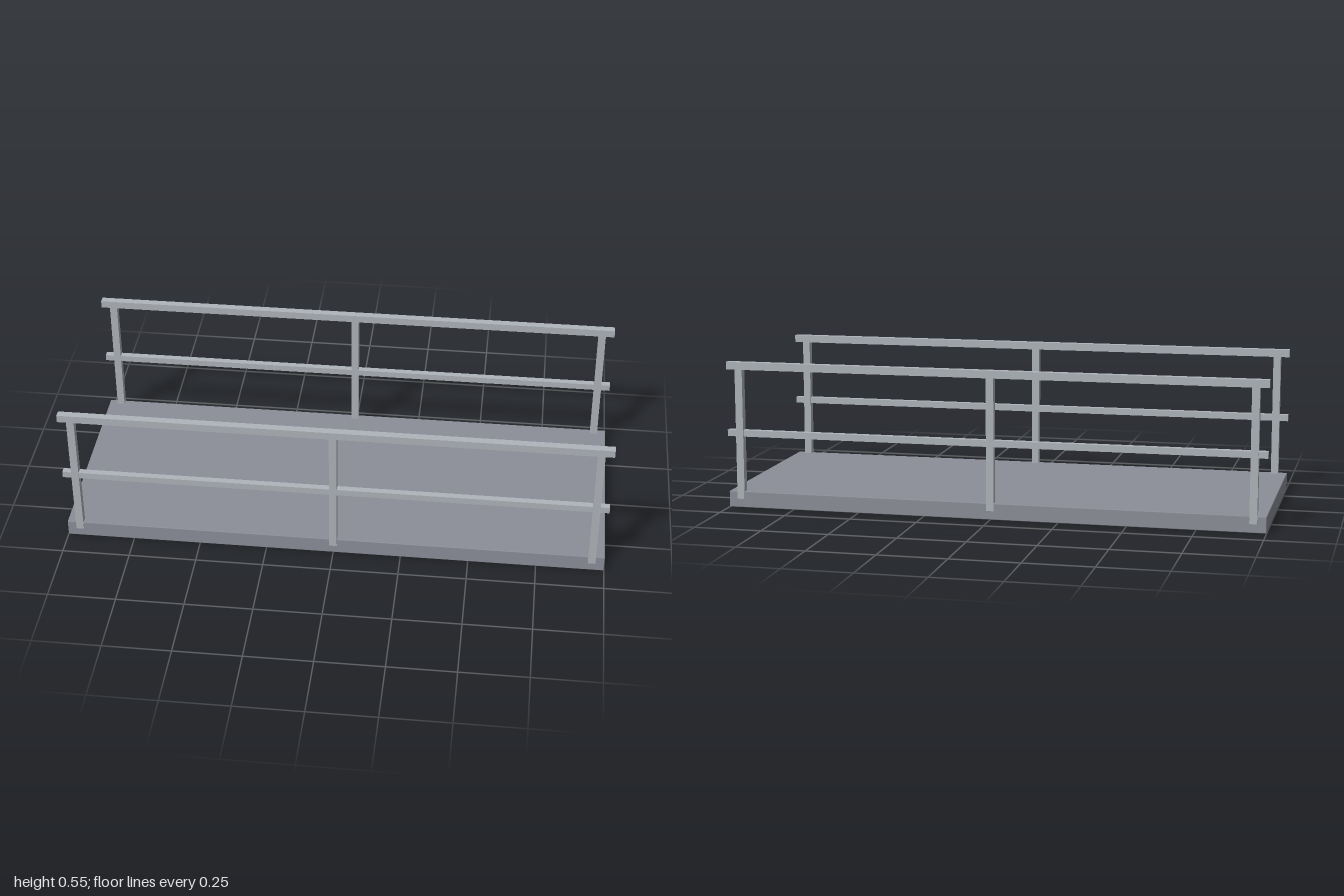
import * as THREE from 'three';
import { RoundedBoxGeometry } from 'three/addons/geometries/RoundedBoxGeometry.js';

export function createModel() {
  const group = new THREE.Group();
  group.name = 'railedWalkway';

  const deckGrey = new THREE.MeshStandardMaterial({ color: 0x8c8f99 });
  deckGrey.name = 'deckGrey';
  const railGrey = new THREE.MeshStandardMaterial({ color: 0xafb5bb });
  railGrey.name = 'railGrey';

  function add(parent, name, geometry, material, x, y, z) {
    const mesh = new THREE.Mesh(geometry, material);
    mesh.name = name;
    mesh.position.set(x, y, z);
    parent.add(mesh);
  }

  // Deck slab with slightly softened edges
  add(group, 'deck', new RoundedBoxGeometry(2, 0.061, 0.8, 1, 0.003), deckGrey, 0, 0.0305, 0);

  // Matching guard rails along both long edges
  const postGeometry = new THREE.BoxGeometry(0.028, 0.487, 0.028);
  const topRailGeometry = new THREE.BoxGeometry(2, 0.028, 0.028);
  const midRailGeometry = new THREE.BoxGeometry(2, 0.024, 0.024);
  for (const side of [1, -1]) {
    const railing = new THREE.Group();
    railing.name = side > 0 ? 'frontRailing' : 'backRailing';
    railing.position.z = side * 0.389;
    group.add(railing);

    for (const x of [-0.953, 0, 0.953]) {
      add(railing, 'post', postGeometry, railGrey, x, 0.2765, 0);
    }
    add(railing, 'topRail', topRailGeometry, railGrey, 0, 0.533, 0);
    add(railing, 'midRail', midRailGeometry, railGrey, 0, 0.281, 0);
  }

  return group;
}
